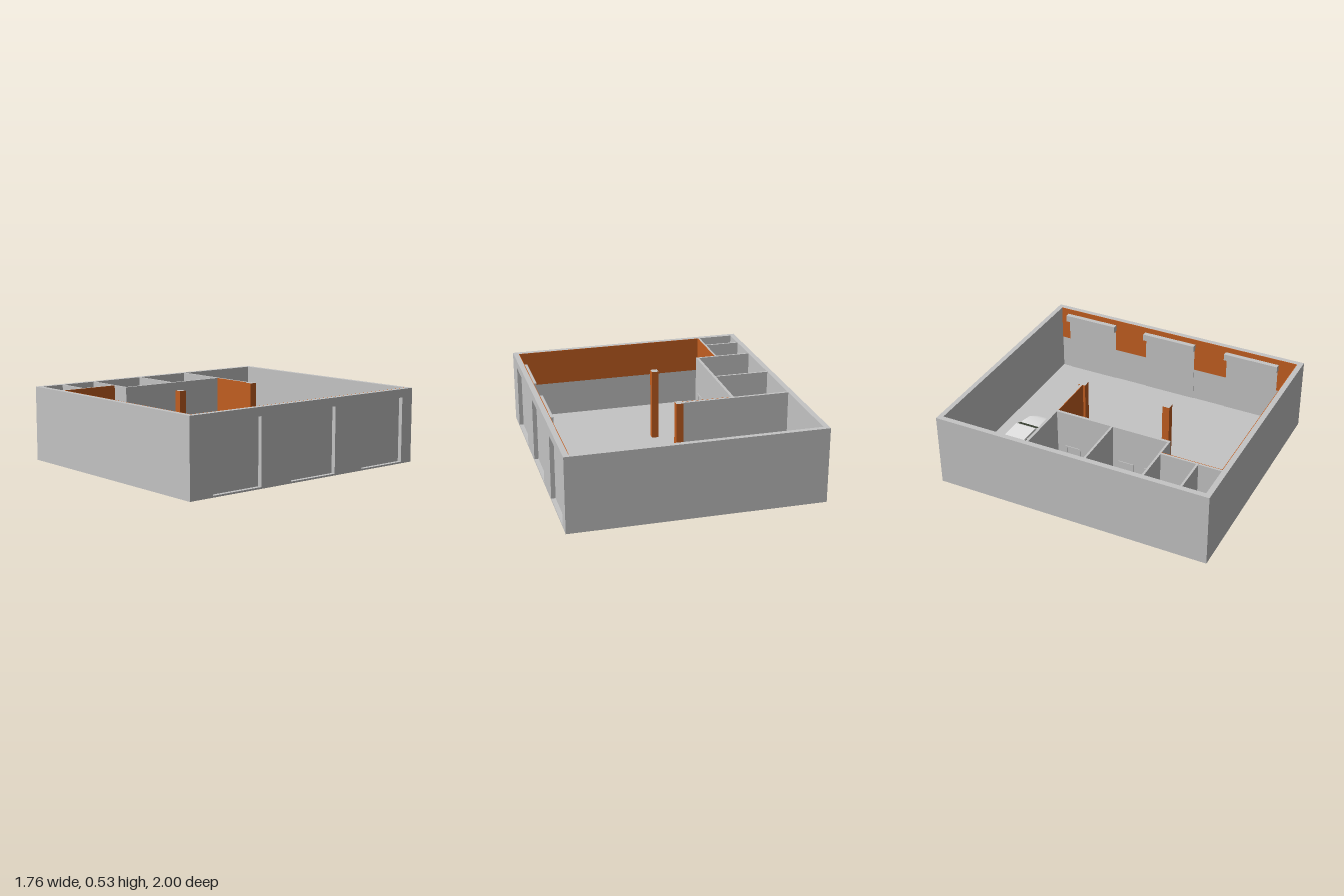
import * as THREE from 'three';

const mat = (name, color, side = THREE.FrontSide) => {
  const m = new THREE.MeshStandardMaterial({ color, side });
  m.name = name;
  return m;
};

const H = 0.53, FLOOR = 0.012, BAND = 0.27; // wall height, floor top, paint line

export function createModel() {
  const gray = mat('concrete gray', 0xc4c4c4);
  const orange = mat('orange paint', 0xc25e20);
  const white = mat('car white', 0xe6e6e6);
  const glass = mat('dark glass', 0x46503f, THREE.DoubleSide);
  const black = mat('tyre black', 0x1c1c1c);
  const silver = mat('rim silver', 0xa8a8a8);

  const root = new THREE.Group();
  root.name = 'garage';

  const add = (parent, name, geo, material) => {
    const m = new THREE.Mesh(geo, material);
    m.name = name;
    parent.add(m);
    return m;
  };
  // box given by its min and max on each axis
  const box = (name, x0, x1, y0, y1, z0, z1, material = gray, parent = root) => {
    const m = add(parent, name, new THREE.BoxGeometry(x1 - x0, y1 - y0, z1 - z0), material);
    m.position.set((x0 + x1) / 2, (y0 + y1) / 2, (z0 + z1) / 2);
    return m;
  };

  // floor and outer walls
  box('floor', -0.88, 0.88, 0, FLOOR, -1, 1);
  box('backWall', -0.88, 0.88, FLOOR, H, -1, -0.965);
  box('frontWall', -0.88, 0.88, FLOOR, H, 0.962, 1);
  box('leftRoomsWall', -0.88, -0.842, FLOOR, H, -0.965, 0.962);

  // wall with three gates: piers, lintels, shutters, roller boxes and paint
  const gates = [[-0.9, -0.5], [-0.24, 0.16], [0.42, 0.82]];
  const gateTop = 0.47;
  let z = -0.965;
  for (const [a, b] of [...gates, [0.962, 0.962]]) {
    box('gatePier', 0.842, 0.88, FLOOR, H, z, a);
    box('gatePierPaint', 0.838, 0.842, BAND, H, z, a, orange);
    z = b;
  }
  for (const [a, b] of gates) {
    box('gateLintel', 0.842, 0.88, gateTop, H, a, b);
    box('gateLintelPaint', 0.838, 0.842, gateTop, H, a, b, orange);
    box('gateShutter', 0.838, 0.85, FLOOR, gateTop, a, b);
    box('rollerBox', 0.802, 0.838, 0.44, 0.49, a - 0.01, b + 0.005);
  }

  // inner partitions
  box('hallPartition', -0.842, -0.08, FLOOR, H, -0.325, -0.305);
  box('roomDivider', -0.842, -0.45, FLOOR, H, 0.105, 0.12);
  box('roomDivider', -0.842, -0.43, FLOOR, H, 0.52, 0.535);
  box('roomDivider', -0.842, -0.59, FLOOR, H, 0.785, 0.8);
  box('largeRoomsWall', -0.45, -0.43, FLOOR, H, -0.305, 0.52);
  box('smallRoomsWall', -0.59, -0.575, FLOOR, H, 0.535, 0.962);
  box('wallCabinet', -0.575, -0.557, 0.18, 0.32, 0.85, 0.945);

  // painted upper bands
  box('frontWallPaint', -0.571, 0.838, BAND, H, 0.958, 0.962, orange);
  box('hallPartitionPaint', -0.43, -0.08, BAND, H, -0.305, -0.301, orange);
  box('smallRoomsPaint', -0.575, -0.571, BAND, H, 0.535, 0.958, orange);

  // free-standing columns with bare tops
  for (const cz of [-0.31, 0.34]) {
    box('column', -0.08, -0.03, FLOOR, H, cz - 0.026, cz + 0.026,
      [orange, orange, gray, orange, orange, orange]);
  }

  // room doors with frames on both faces of the wall
  for (const dz of [-0.19, 0.01, 0.22, 0.41]) {
    for (const [x0, x1] of [[-0.43, -0.425], [-0.455, -0.45]]) {
      for (const s of [-1, 1]) {
        const e = dz + s * 0.05;
        box('doorJamb', x0, x1, FLOOR, 0.265, e - 0.007, e + 0.007);
      }
      box('doorHead', x0, x1, 0.251, 0.265, dz - 0.043, dz + 0.043);
    }
  }

  const car = new THREE.Group();
  car.name = 'car';
  car.position.set(0, FLOOR, -0.66);
  root.add(car);

  // car body: rings [x, half width, bottom, top] joined along x
  const half = [[0.85, 0], [0.97, 0.2], [1, 0.45], [0.98, 0.7], [0.9, 0.9], [0.6, 0.99], [0, 1.03]];
  const ringShape = [...half, ...half.slice(0, -1).reverse().map(([w, h]) => [-w, h])];
  const stations = [
    [-0.668, 0.1, 0.05, 0.11], [-0.655, 0.12, 0.035, 0.128], [-0.56, 0.129, 0.028, 0.135],
    [-0.42, 0.124, 0.025, 0.132], [-0.26, 0.122, 0.025, 0.13], [-0.14, 0.129, 0.028, 0.12],
    [-0.05, 0.122, 0.025, 0.104], [-0.01, 0.1, 0.028, 0.09], [0.01, 0.065, 0.035, 0.075],
  ];
  const n = ringShape.length, pos = [], idx = [];
  const pushRing = ([x, w, y0, y1]) =>
    ringShape.forEach(([u, v]) => pos.push(x, y0 + v * (y1 - y0), u * w));
  stations.forEach(pushRing);
  for (let i = 0; i < stations.length - 1; i++) {
    for (let j = 0; j < n; j++) {
      const a = i * n + j, b = i * n + (j + 1) % n;
      idx.push(a, a + n, b + n, a, b + n, b);
    }
  }
  // end caps with their own corners
  const rear = stations.length * n, nose = rear + n;
  pushRing(stations[0]);
  pushRing(stations[stations.length - 1]);
  for (let j = 1; j < n - 1; j++) {
    idx.push(rear, rear + j, rear + j + 1, nose, nose + j + 1, nose + j);
  }
  const bodyGeo = new THREE.BufferGeometry();
  bodyGeo.setAttribute('position', new THREE.Float32BufferAttribute(pos, 3));
  bodyGeo.setIndex(idx);
  bodyGeo.computeVertexNormals();
  add(car, 'carBody', bodyGeo, white);

  // cabin: a box whose top is drawn in
  const base = { r: -0.585, f: -0.18, y: 0.124, w: 0.112 };
  const roof = { r: -0.455, f: -0.29, y: 0.192, w: 0.078 };
  let cabinGeo = new THREE.BoxGeometry(1, 1, 1);
  const p = cabinGeo.attributes.position;
  for (let i = 0; i < p.count; i++) {
    const l = p.getY(i) > 0 ? roof : base;
    p.setXYZ(i, p.getX(i) > 0 ? l.f : l.r, l.y, Math.sign(p.getZ(i)) * l.w);
  }
  cabinGeo.computeVertexNormals();
  add(car, 'cabin', cabinGeo, white);

  // windows: quads laid just off the cabin faces
  const quad = (name, a, b, c, d) => {
    const g = new THREE.BufferGeometry();
    g.setAttribute('position', new THREE.Float32BufferAttribute([...a, ...b, ...c, ...d], 3));
    g.setIndex([0, 1, 2, 0, 2, 3]);
    g.computeVertexNormals();
    add(car, name, g, glass);
  };
  const at = (t, key) => base[key] + (roof[key] - base[key]) * t;
  for (const [name, key, off] of [['windshield', 'f', 0.002], ['rearWindow', 'r', -0.002]]) {
    const corner = (t, s) => [at(t, key) + off, at(t, 'y') + 0.002, s * (at(t, 'w') - 0.008)];
    quad(name, corner(0.17, 1), corner(0.17, -1), corner(0.95, -1), corner(0.95, 1));
  }
  for (const s of [1, -1]) {
    const corner = (t, u) => [
      at(t, 'r') + (at(t, 'f') - at(t, 'r')) * u, at(t, 'y') + 0.001, s * (at(t, 'w') + 0.002)];
    quad('sideWindow', corner(0.25, 0.14), corner(0.25, 0.88), corner(0.9, 0.9), corner(0.9, 0.1));
  }

  // rear wing
  box('wing', -0.662, -0.615, 0.158, 0.164, -0.1, 0.1, white, car);
  for (const s of [-1, 1]) {
    box('wingSupport', -0.65, -0.625, 0.115, 0.16, s * 0.09 - 0.004, s * 0.09 + 0.004, white, car);
  }

  // wheels and rims
  for (const x of [-0.13, -0.535]) {
    for (const s of [-1, 1]) {
      const tyre = add(car, 'tyre', new THREE.CylinderGeometry(0.044, 0.044, 0.04, 24), black);
      tyre.rotation.x = Math.PI / 2;
      tyre.position.set(x, 0.044, s * 0.111);
      const rim = add(car, 'rim', new THREE.CylinderGeometry(0.029, 0.029, 0.004, 16), silver);
      rim.rotation.x = Math.PI / 2;
      rim.position.set(x, 0.044, s * 0.131);
    }
  }
  return root;
}
